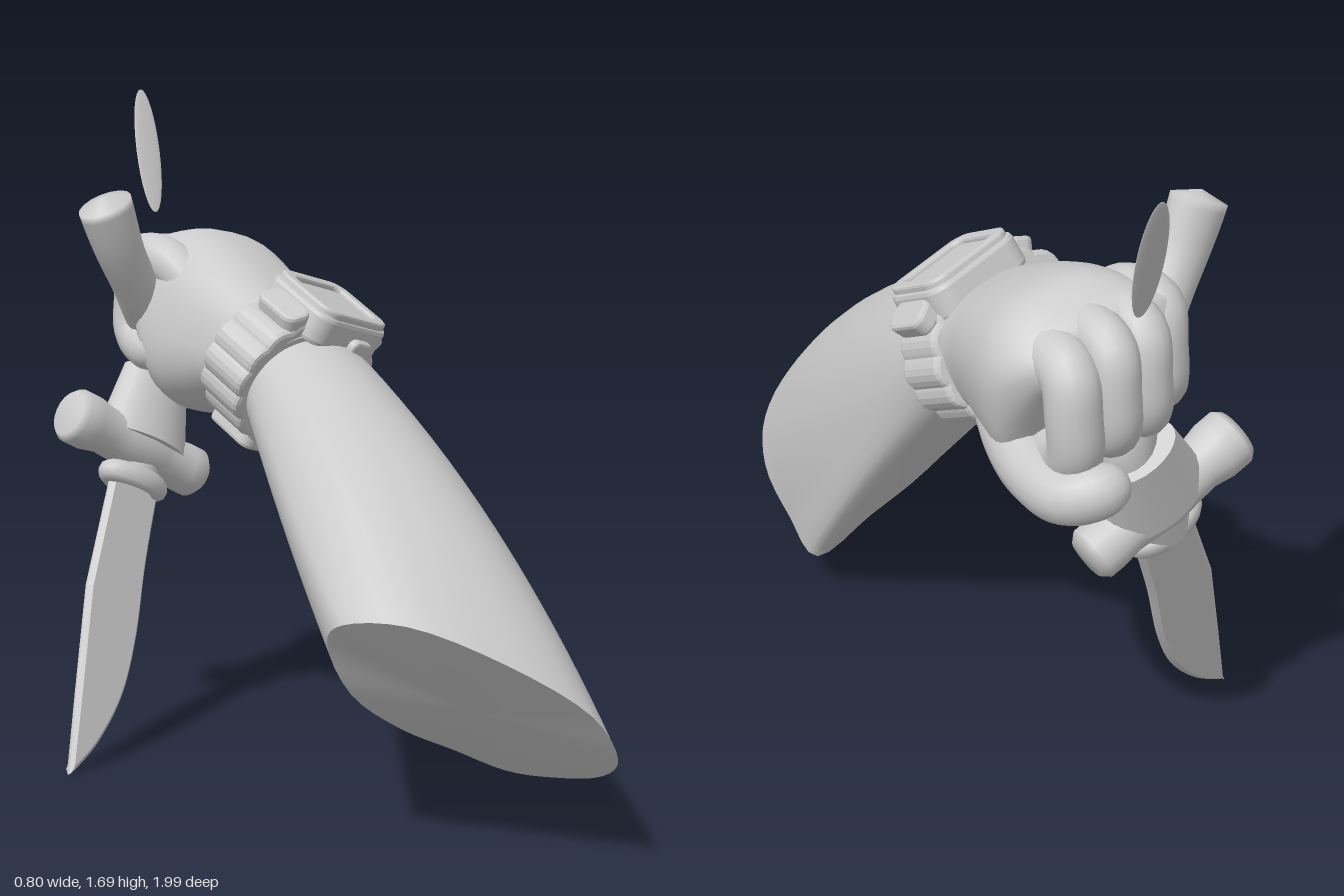
import * as THREE from 'three';
import { mergeVertices } from 'three/addons/utils/BufferGeometryUtils.js';

const V = (x, y, z) => new THREE.Vector3(x, y, z);
const material = new THREE.MeshStandardMaterial({ color: 0xcccccc, side: THREE.DoubleSide });

function add(parent, name, geometry) {
  const mesh = new THREE.Mesh(geometry, material);
  mesh.name = name;
  parent.add(mesh);
  return mesh;
}

// Skin over closed rings that run from +z to -z, clockwise seen from +z, with flat caps.
function loft(rings) {
  const n = rings[0].length, pos = [], idx = [];
  const put = (p) => pos.push(p.x, p.y, p.z) / 3 - 1;
  rings.forEach((r) => r.forEach(put));
  for (let i = 0; i < rings.length - 1; i++) {
    for (let j = 0; j < n; j++) {
      const a = i * n + j, b = i * n + (j + 1) % n;
      idx.push(a, b, a + n, b, b + n, a + n);
    }
  }
  [rings[0], rings[rings.length - 1]].forEach((r, end) => {
    const c = put(r.reduce((s, p) => s.add(p), V(0, 0, 0)).divideScalar(n));
    r.forEach(put);
    for (let j = 0; j < n; j++) {
      const a = c + 1 + j, b = c + 1 + (j + 1) % n;
      if (end) idx.push(c, a, b); else idx.push(c, b, a);
    }
  });
  const g = new THREE.BufferGeometry();
  g.setAttribute('position', new THREE.Float32BufferAttribute(pos, 3));
  g.setIndex(idx);
  g.computeVertexNormals();
  return g;
}

// Tube along a smooth path whose radius follows radius(t); flat squashes it in z.
function sweep(points, radius, flat = 1) {
  const curve = new THREE.CatmullRomCurve3(points), sides = 16, steps = 44;
  let g = new THREE.TubeGeometry(curve, steps, 1, sides);
  const p = g.attributes.position, v = V(0, 0, 0);
  for (let i = 0; i < p.count; i++) {
    const t = Math.floor(i / (sides + 1)) / steps, c = curve.getPointAt(t);
    v.fromBufferAttribute(p, i).sub(c).multiplyScalar(radius(t));
    p.setXYZ(i, c.x + v.x, c.y + v.y, c.z + v.z * flat);
  }
  g.deleteAttribute('uv');
  g.deleteAttribute('normal');
  g = mergeVertices(g, 1e-5);
  g.computeVertexNormals();
  return g;
}

// Radius that narrows by taper and closes in a round tip
const roundTip = (r, taper) => (t) =>
  r * (1 - taper * t) * Math.sqrt(Math.max(0, 1 - Math.max(0, (t - 0.86) / 0.14) ** 2)) + 0.0005;

// Tilted oval ring; lean shifts z with height.
function oval(cx, cy, cz, a, b, lean, roll, n, power = 1) {
  return Array.from({ length: n }, (_, j) => {
    const t = Math.PI - (j / n) * Math.PI * 2;
    const c = Math.cos(t), s = Math.sin(t);
    const x = a * Math.sign(c) * Math.abs(c) ** power, y = b * Math.sign(s) * Math.abs(s) ** power;
    const dy = x * Math.sin(roll) + y * Math.cos(roll);
    return V(cx + x * Math.cos(roll) - y * Math.sin(roll), cy + dy, cz + lean * dy);
  });
}

function forearm() {
  const n = 48;
  const rim = new THREE.CatmullRomCurve3([
    V(-0.34, 0.6, 0.62), V(-0.27, 0.615, 0.76), V(-0.1, 0.53, 0.9), V(0.08, 0.4, 0.99),
    V(0.18, 0.28, 0.97), V(0.24, 0.2, 0.86), V(0.27, 0.14, 0.66), V(0.28, 0.11, 0.48),
    V(0.12, 0.19, 0.475), V(-0.05, 0.275, 0.475), V(-0.21, 0.39, 0.49), V(-0.315, 0.54, 0.535)], true);
  const wrist = oval(0.15, 1.005, -0.17, 0.185, 0.125, 0.55, -0.2, n);
  const rings = [];
  for (let i = 0; i <= 16; i++) {
    const t = i / 16, swell = 4 * t * (1 - t);
    rings.push(wrist.map((w, j) => {
      const a = Math.PI - (j / n) * Math.PI * 2, top = Math.max(0, Math.sin(a)), c = Math.cos(a);
      return rim.getPoint(j / n).lerp(w, t).add(
        V(c * (c > 0 ? 0.03 : 0.012), 0.065 * top, 0.03 * top).multiplyScalar(swell));
    }));
  }
  return loft(rings);
}

function palm() {
  const key = [ // cx, cy, cz, half width, half height, lean
    [0.15, 1.0, -0.12, 0.18, 0.12, 0.5], [0.15, 1.055, -0.29, 0.18, 0.145, 0.35],
    [0.16, 1.085, -0.44, 0.205, 0.205, 0.1], [0.172, 1.105, -0.57, 0.222, 0.235, 0],
    [0.175, 1.165, -0.65, 0.215, 0.155, -0.1], [0.165, 1.22, -0.71, 0.19, 0.075, -0.1],
    [0.165, 1.22, -0.74, 0.14, 0.03, 0]];
  const last = key.length - 1, rows = [];
  for (let i = 0; i <= last * 4; i++) {
    const k = Math.min(Math.floor(i / 4), last - 1), u = i / 4 - k;
    const v = key[k].map((a, m) => {
      const p = key[Math.max(0, k - 1)][m], b = key[k + 1][m], q = key[Math.min(last, k + 2)][m];
      return a + 0.5 * u * (b - p + u * (2 * p - 5 * a + 4 * b - q + u * (3 * (a - b) + q - p)));
    });
    rows.push(oval(...v, -0.25, 40, 0.8));
  }
  return loft(rows);
}

function roundedRect(w, h, r, Type = THREE.Shape) {
  const s = new Type(), x = w / 2 - r, y = h / 2 - r, q = Math.PI / 2;
  s.absarc(x, y, r, 0, q).absarc(-x, y, r, q, 2 * q).absarc(-x, -y, r, 2 * q, 3 * q).absarc(x, -y, r, 3 * q, 4 * q);
  return s.closePath();
}

const bevelled = (shape, depth, bevel) => new THREE.ExtrudeGeometry(shape, {
  depth, bevelThickness: bevel, bevelSize: bevel, bevelSegments: 2, curveSegments: 8 });

function watch() {
  const g = new THREE.Group();
  g.name = 'watch';
  // Strap with a lumpy, linked outline
  const outline = (rx, ry, lump) => Array.from({ length: 96 }, (_, i) => {
    const a = (i / 96) * Math.PI * 2, k = lump * Math.abs(Math.sin(a * 8));
    return new THREE.Vector2((rx + k) * Math.cos(a), (ry + k) * Math.sin(a));
  });
  const band = new THREE.Shape(outline(0.212, 0.17, 0.012));
  band.holes.push(new THREE.Path(outline(0.182, 0.14, 0)));
  add(g, 'strap', bevelled(band, 0.13, 0.012).translate(0, 0, -0.069));
  add(g, 'clasp', bevelled(roundedRect(0.15, 0.14, 0.02), 0.03, 0.01).rotateX(Math.PI / 2).translate(0, -0.168, -0.01));
  // Case with raised rim around the screen
  const head = new THREE.Group();
  head.name = 'case';
  head.position.set(0.01, 0.135, 0);
  g.add(head);
  const up = (geo, y) => geo.rotateX(-Math.PI / 2).translate(0, y, 0);
  add(head, 'caseBody', up(bevelled(roundedRect(0.25, 0.21, 0.04), 0.06, 0.012), 0));
  const rim = roundedRect(0.24, 0.205, 0.04);
  rim.holes.push(roundedRect(0.2, 0.165, 0.03, THREE.Path));
  add(head, 'screenRim', up(bevelled(rim, 0.012, 0.007), 0.07));
  add(head, 'screen', up(bevelled(roundedRect(0.19, 0.155, 0.025), 0.004, 0.004), 0.068));
  for (const s of [-1, 1]) {
    const lug = add(head, 'lug', up(bevelled(roundedRect(0.06, 0.12, 0.02), 0.03, 0.01), 0));
    lug.position.set(s * 0.145, 0.005, 0);
    lug.rotation.z = -s * 0.5;
  }
  add(head, 'crown', bevelled(roundedRect(0.06, 0.04, 0.012), 0.02, 0.008)).position.set(0.03, 0.01, 0.11);
  g.position.set(0.135, 1.02, -0.2);
  g.rotation.set(0.45, 0.08, -0.34);
  return g;
}

function knife() {
  const g = new THREE.Group();
  g.name = 'knife';
  // Bent grip from the pommel through the fist to the guard
  const grip = [V(-0.19, 1.452, -0.55), V(-0.125, 1.31, -0.57), V(-0.04, 1.19, -0.61), V(0.08, 1.05, -0.69),
    V(0.1, 0.93, -0.71), V(0.02, 0.79, -0.69), V(-0.04, 0.68, -0.655)];
  add(g, 'grip', sweep(grip, (t) => (t < 0.015 ? 0.0005 : 0.068 + 0.006 * Math.cos(t * 12)), 0.8));
  // Guard with flared ends, set across the blade
  const y = V(0.345, 0.655, -0.22).normalize(), x = V(0.66, -0.34, 0);
  x.addScaledVector(y, -x.dot(y)).normalize();
  const basis = new THREE.Matrix4().makeBasis(x, y, x.clone().cross(y));
  const place = (name, geometry, at) => {
    const mesh = add(g, name, geometry);
    mesh.applyMatrix4(basis);
    mesh.position.copy(at);
  };
  const profile = [[0, -0.24], [0.06, -0.238], [0.074, -0.22], [0.074, -0.17], [0.064, -0.12], [0.068, -0.06],
    [0.075, 0], [0.068, 0.06], [0.063, 0.11], [0.068, 0.16], [0.068, 0.2], [0.05, 0.22], [0, 0.223]];
  place('guard', new THREE.LatheGeometry(profile.map((p) => new THREE.Vector2(...p)), 20).rotateZ(-Math.PI / 2), V(-0.01, 0.772, -0.675));
  place('guardBody', new THREE.CylinderGeometry(0.1, 0.14, 0.2, 24).scale(1, 1, 0.62), V(0.045, 0.86, -0.7));
  place('collar', new THREE.TorusGeometry(0.075, 0.03, 10, 24).rotateX(Math.PI / 2).scale(1.05, 1, 0.6), V(-0.04, 0.685, -0.65));
  // Blade with straight spine and curved belly, drawn from the tip
  const belly = [[0.061, 0.1], [0.105, 0.24], [0.11, 0.4], [0.09, 0.6], [0.08, 0.8]];
  const s = new THREE.Shape();
  s.moveTo(0, 0).splineThru(belly.map((p) => new THREE.Vector2(...p)));
  s.lineTo(-0.07, 0.8).lineTo(-0.07, 0.48).lineTo(-0.03, 0.2).closePath();
  place('blade', new THREE.ExtrudeGeometry(s, {
    depth: 0.006, bevelThickness: 0.012, bevelSize: 0.012, bevelOffset: -0.006, bevelSegments: 1, curveSegments: 10,
  }).translate(0, 0, -0.003), V(-0.395, 0.008, -0.425));
  return g;
}

export function createModel() {
  const model = new THREE.Group();
  add(model, 'forearm', forearm());

  // Fist with four curled fingers and a thumb
  const hand = new THREE.Group();
  hand.name = 'hand';
  model.add(hand);
  add(hand, 'palm', palm());
  const fingers = [['littleFinger', 0.01, 1.3, -0.7, 0.063], ['ringFinger', 0.095, 1.285, -0.765, 0.062],
    ['middleFinger', 0.187, 1.27, -0.78, 0.064], ['indexFinger', 0.282, 1.23, -0.765, 0.071]];
  for (const [name, x, y, z, r] of fingers) {
    add(hand, name, sweep([V(0.6 * x + 0.07, y - 0.15, -0.44), V(0.9 * x + 0.02, y - 0.03, -0.58), V(x, y - 0.03, z + 0.025),
      V(x, y - 0.13, z), V(x - 0.01, y - 0.22, z + 0.01), V(x - 0.02, y - 0.26, z + 0.08), V(x - 0.02, y - 0.25, z + 0.18)],
    roundTip(r, 0.15)));
  }
  add(hand, 'thumb', sweep([V(0.2, 1.02, -0.36), V(0.27, 0.965, -0.49), V(0.31, 0.925, -0.65),
    V(0.305, 0.92, -0.77), V(0.255, 0.94, -0.82), V(0.18, 0.96, -0.825)], roundTip(0.086, 0.3)));

  model.add(watch(), knife());

  // Thin floating sliver above the knuckles
  const sliver = add(model, 'sliver', new THREE.SphereGeometry(1, 24, 16).scale(0.038, 0.176, 0.004));
  sliver.position.set(0.213, 1.525, -0.935);
  sliver.quaternion.setFromUnitVectors(V(0, 1, 0), V(0.045, 0.32, -0.13).normalize());
  return model;
}
